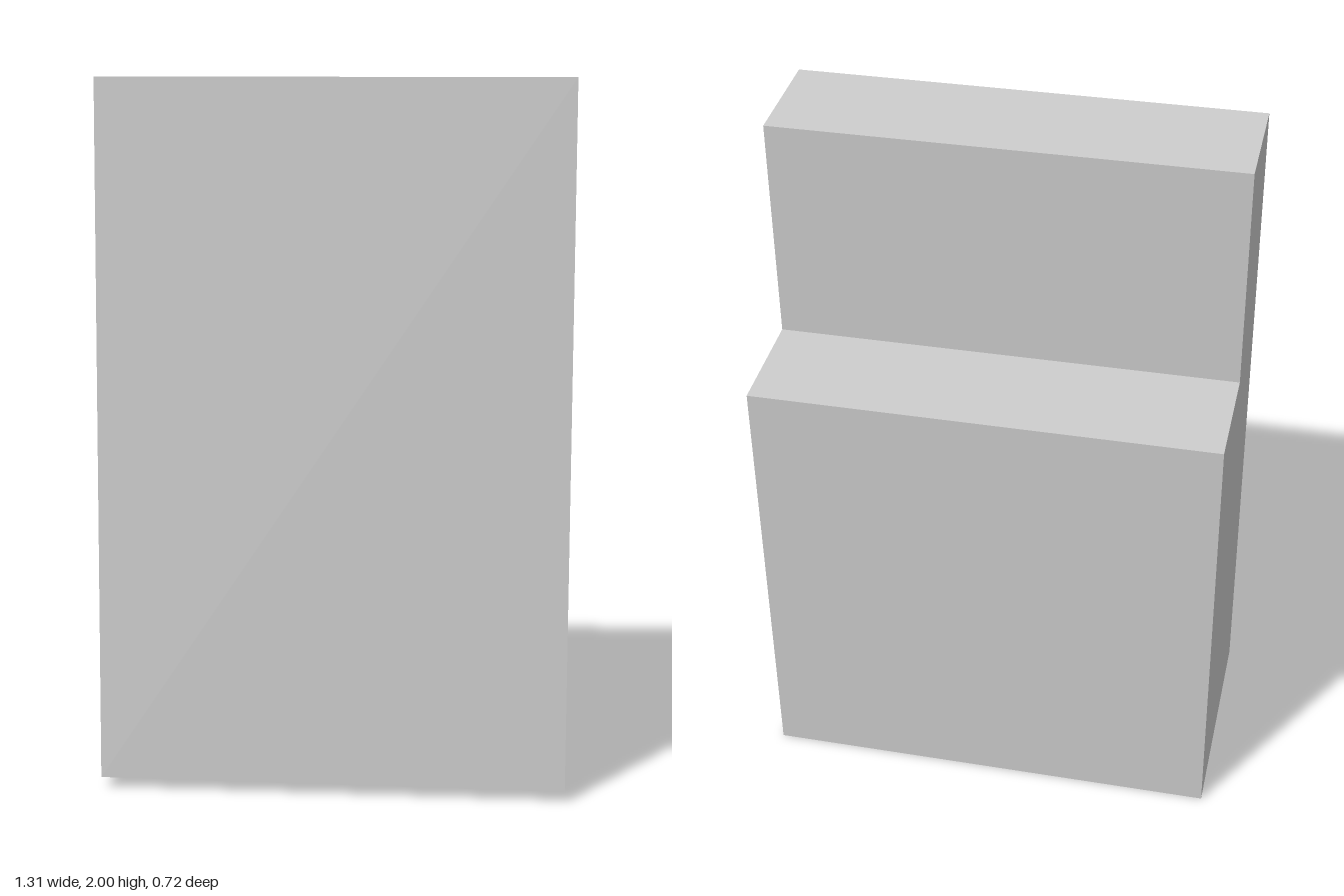
import * as THREE from 'three';

export function createModel() {
  const group = new THREE.Group();
  const u = 0.6566;   // body depth; width is 2u, height 3u
  const tilt = 0.05;  // whole block leans backwards

  // Stepped side profile: x = towards the front, y = up, origin at the rear bottom edge
  const profile = new THREE.Shape([
    [0, 0], [1, 0], [1, 3], [0.5, 3], [0.5, 2], [0, 2],
  ].map(([x, y]) => new THREE.Vector2(x * u, y * u)));

  // Extrude across the width, lean it, then turn the profile to face +z
  const geometry = new THREE.ExtrudeGeometry(profile, { depth: 2 * u, bevelEnabled: false });
  geometry.translate(0, 0, -u);
  geometry.rotateZ(tilt);
  geometry.rotateY(-Math.PI / 2);

  // Centre front to back and stand the lowest edge on the ground
  geometry.computeBoundingBox();
  const { min, max } = geometry.boundingBox;
  geometry.translate(0, -min.y, -(min.z + max.z) / 2);

  const block = new THREE.Mesh(geometry, new THREE.MeshStandardMaterial({ color: 0xcccccc }));
  block.name = 'steppedBlock';
  group.add(block);
  return group;
}
